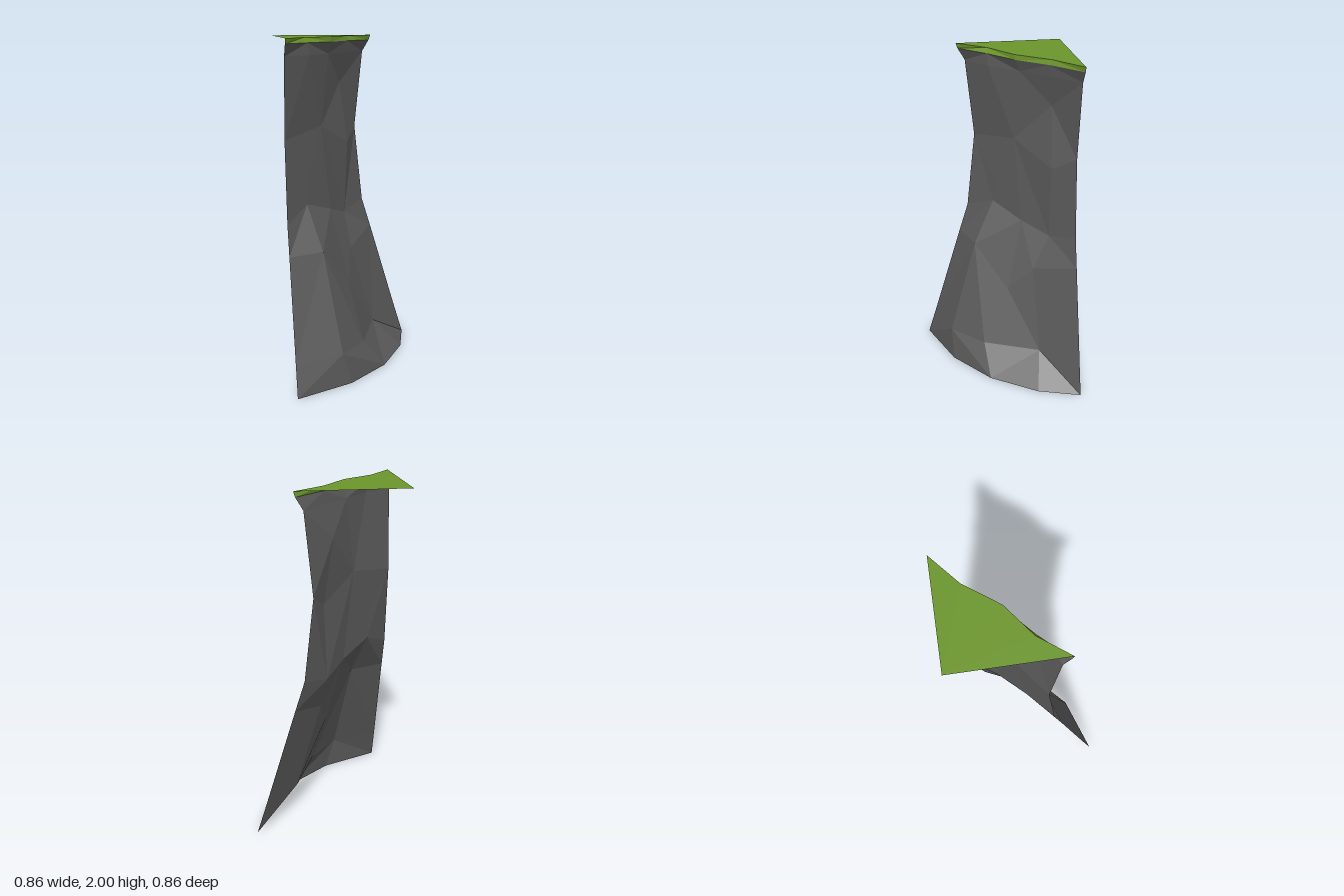
import * as THREE from 'three';

// Each ring runs from the left open edge to the right open edge of the curved wall
const foot = [[-.43, 0, .43], [-.085, 0, .295], [.17, 0, .09], [.35, 0, -.18], [.43, 0, -.43]];
const ankle = [[-.43, .18, .375], [-.14, .19, .3], [.03, .18, .11], [.17, .18, -.22], [.375, .18, -.43]];
const slope = [[-.43, .77, .2], [-.22, .77, .13], [-.03, .53, -.05], [.02, .69, -.2], [.2, .77, -.43]];
const ledge = [[-.43, .95, .145], [-.29, 1.03, 0], [-.12, .96, -.15], [0, .9, -.3], [.145, .95, -.43]];
const waist = [[-.43, 1.43, .095], [-.285, 1.18, -.01], [-.18, 1.48, -.11], [.02, 1.35, -.3], [.095, 1.43, -.43]];
const neck = [[-.43, 1.9, .145], [-.27, 1.9, .03], [-.13, 1.9, -.13], [.01, 1.9, -.28], [.145, 1.9, -.43]];
const lip = [[-.43, 1.97, .187], [-.28, 1.97, .035], [-.117, 1.97, -.103], [.015, 1.97, -.268], [.187, 1.97, -.43]];
const rim = [[-.43, 2, .197], [-.3, 2, .03], [-.12, 2, -.1], [.02, 2, -.285], [.197, 2, -.43]];
const bulge = [-.03, 1.72, -.3];
const backCorner = [-.43, 2, -.43];

// Triangles between two rings; '/' or '\\' picks the diagonal of each quad
function strip(lower, upper, diagonals) {
  const tris = [];
  [...diagonals].forEach((d, i) => {
    const a = lower[i], b = lower[i + 1], c = upper[i + 1], e = upper[i];
    if (d === '/') tris.push([a, b, c], [a, c, e]);
    else tris.push([a, b, e], [b, c, e]);
  });
  return tris;
}

// Triangles from a centre point to an ordered chain of points
function fan(centre, chain) {
  return chain.slice(1).map((p, i) => [centre, chain[i], p]);
}

function facetedMesh(name, tris, material) {
  const geometry = new THREE.BufferGeometry();
  geometry.setAttribute('position', new THREE.Float32BufferAttribute(tris.flat(2), 3));
  geometry.computeVertexNormals();
  const mesh = new THREE.Mesh(geometry, material);
  mesh.name = name;
  return mesh;
}

export function createModel() {
  const rock = new THREE.MeshStandardMaterial({ color: 0x5a5a5a, side: THREE.DoubleSide, flatShading: true });
  rock.name = 'rock grey';
  const grass = new THREE.MeshStandardMaterial({ color: 0x6b952b, side: THREE.DoubleSide, flatShading: true });
  grass.name = 'grass green';

  const group = new THREE.Group();
  group.name = 'cliffCorner';

  // Flared lower wall
  group.add(facetedMesh('lowerRock', [
    ...strip(foot, ankle, '/\\/\\'),
    ...strip(ankle, slope, '/\\\\/'),
    ...strip(slope, ledge, '//\\\\'),
  ], rock));

  // Narrow upper wall with one bulging facet point
  group.add(facetedMesh('upperRock', [
    ...strip(ledge, waist, '\\\\\\/'),
    [waist[0], waist[1], waist[2]],
    [waist[0], waist[2], neck[1]], [waist[0], neck[1], neck[0]],
    [waist[2], neck[2], neck[1]],
    ...fan(bulge, [waist[2], waist[3], waist[4], neck[4], neck[3], neck[2], waist[2]]),
    ...strip(neck, lip, '/\\/\\'),
  ], rock));

  // Turf edge and flat turf top
  group.add(facetedMesh('grassEdge', strip(lip, rim, '/\\/\\'), grass));
  group.add(facetedMesh('grassTop', fan(backCorner, rim), grass));
  return group;
}
